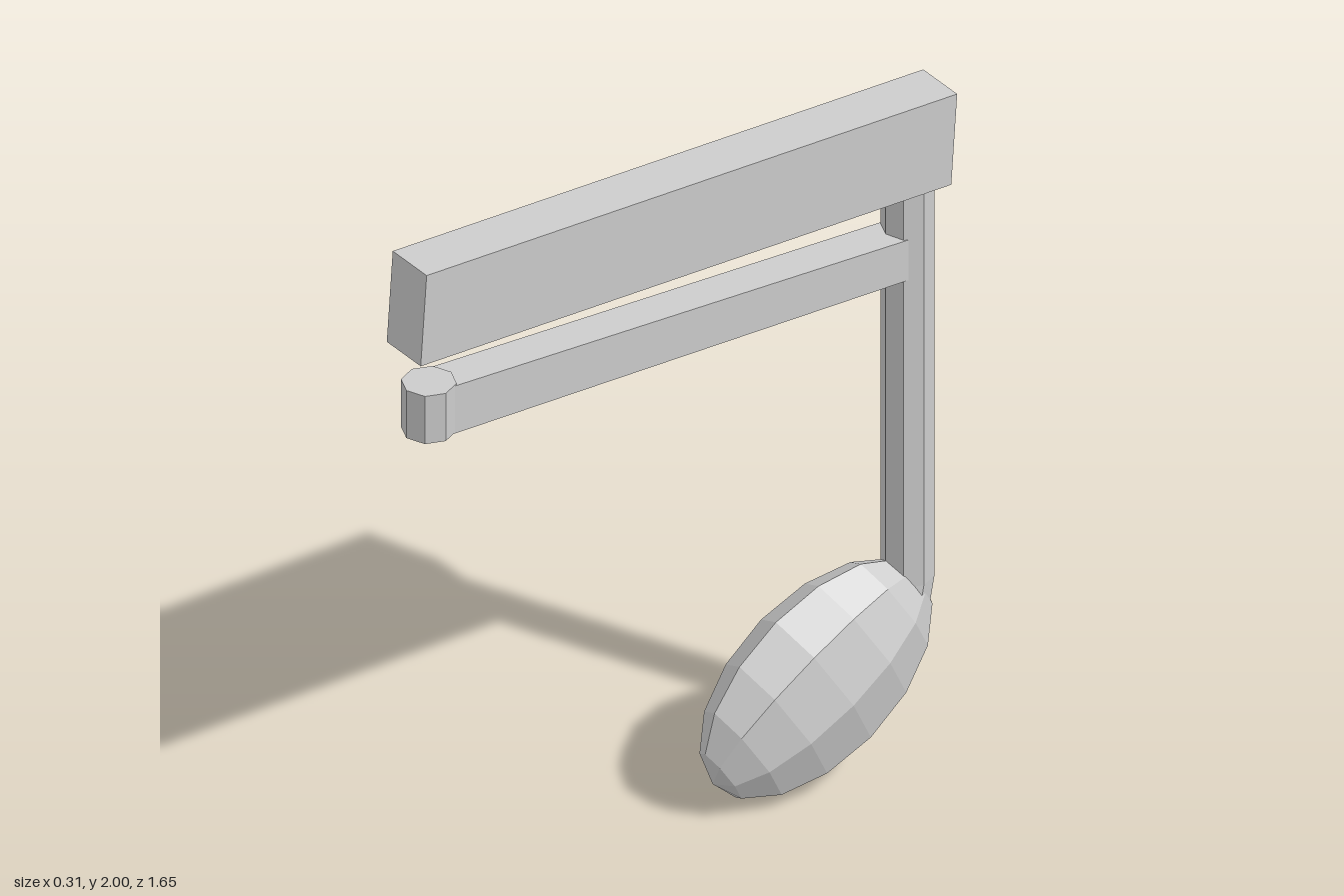
import * as THREE from 'three';

export function createModel() {
  const group = new THREE.Group();
  const material = new THREE.MeshStandardMaterial({ color: 0xcccccc, flatShading: true });
  const add = (name, geometry) => {
    const mesh = new THREE.Mesh(geometry, material);
    mesh.name = name;
    group.add(mesh);
    return mesh;
  };

  // Note head: faceted ellipsoid, long axis rising towards the back
  const head = add('noteHead', new THREE.SphereGeometry(1, 8, 8));
  head.scale.set(0.153, 0.368, 0.247);
  head.rotation.x = -Math.PI / 3;
  head.position.set(0, 0.283, -0.442);

  // Stem: octagonal post whose foot bends into the head
  const [bottom, bend, top] = [0.3, 0.48, 1.7];
  const stemGeometry = new THREE.CylinderGeometry(0.067, 0.067, 1, 8, 2);
  const p = stemGeometry.attributes.position;
  for (let i = 0; i < p.count; i++) {
    const level = Math.round((p.getY(i) + 0.5) * 2);
    p.setY(i, [bottom, bend, top][level]);
    p.setZ(i, p.getZ(i) - (level === 0 ? 0.69 : 0.724));
  }
  add('stem', stemGeometry);

  // Upper beam: tilted box
  const beam = add('upperBeam', new THREE.BoxGeometry(0.138, 0.26, 1.64));
  beam.rotation.x = -0.0702;
  beam.position.set(0, 1.8125, 0.002);

  // Lower beam: sloping bar drawn in side profile, slightly thinner than the stem
  const side = new THREE.Shape([
    [-0.75, 1.63], [-0.75, 1.49], [0.7, 1.382], [0.7, 1.5],
  ].map(([u, y]) => new THREE.Vector2(u, y)));
  const width = 0.104;
  const bar = new THREE.ExtrudeGeometry(side, { depth: width, bevelEnabled: false });
  bar.translate(0, 0, -width / 2);
  bar.rotateY(Math.PI / 2);
  add('lowerBeam', bar);

  // Octagonal stub closing the front end of the lower beam
  const stub = add('lowerBeamEnd', new THREE.CylinderGeometry(0.069, 0.069, 0.14, 8));
  stub.position.set(0, 1.56, 0.752);

  return group;
}
